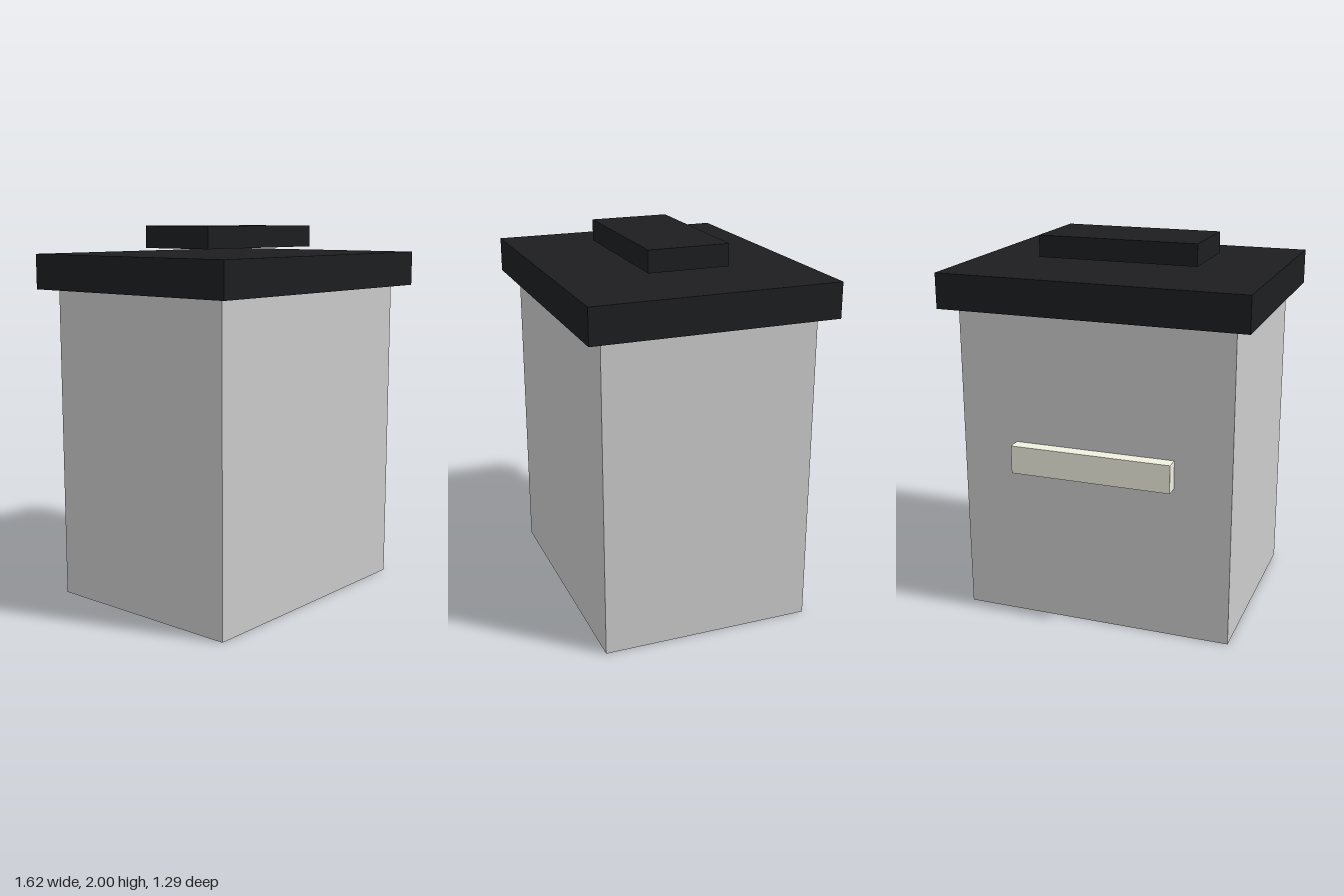
import * as THREE from 'three';

export function createModel() {
  const model = new THREE.Group();
  const grey = new THREE.MeshStandardMaterial({ color: 0xcccccc });
  const black = new THREE.MeshStandardMaterial({ color: 0x1d1e20 });
  const cream = new THREE.MeshStandardMaterial({ color: 0xf0f0e0 });

  // Box given by its width, depth, bottom and top heights, and centre z
  function addBox(name, material, width, depth, bottom, top, z = 0) {
    const mesh = new THREE.Mesh(new THREE.BoxGeometry(width, top - bottom, depth), material);
    mesh.name = name;
    mesh.position.set(0, (bottom + top) / 2, z);
    model.add(mesh);
  }

  // Bin body
  addBox('body', grey, 1.46, 1.13, 0, 1.663);

  // Overhanging lid, with the grip plate hovering just above it
  addBox('lid', black, 1.625, 1.295, 1.67, 1.855);
  addBox('lidGrip', black, 0.86, 0.43, 1.885, 2);

  // Handle bar on the back wall
  addBox('backHandle', cream, 0.86, 0.075, 0.825, 0.975, -0.6);

  return model;
}
